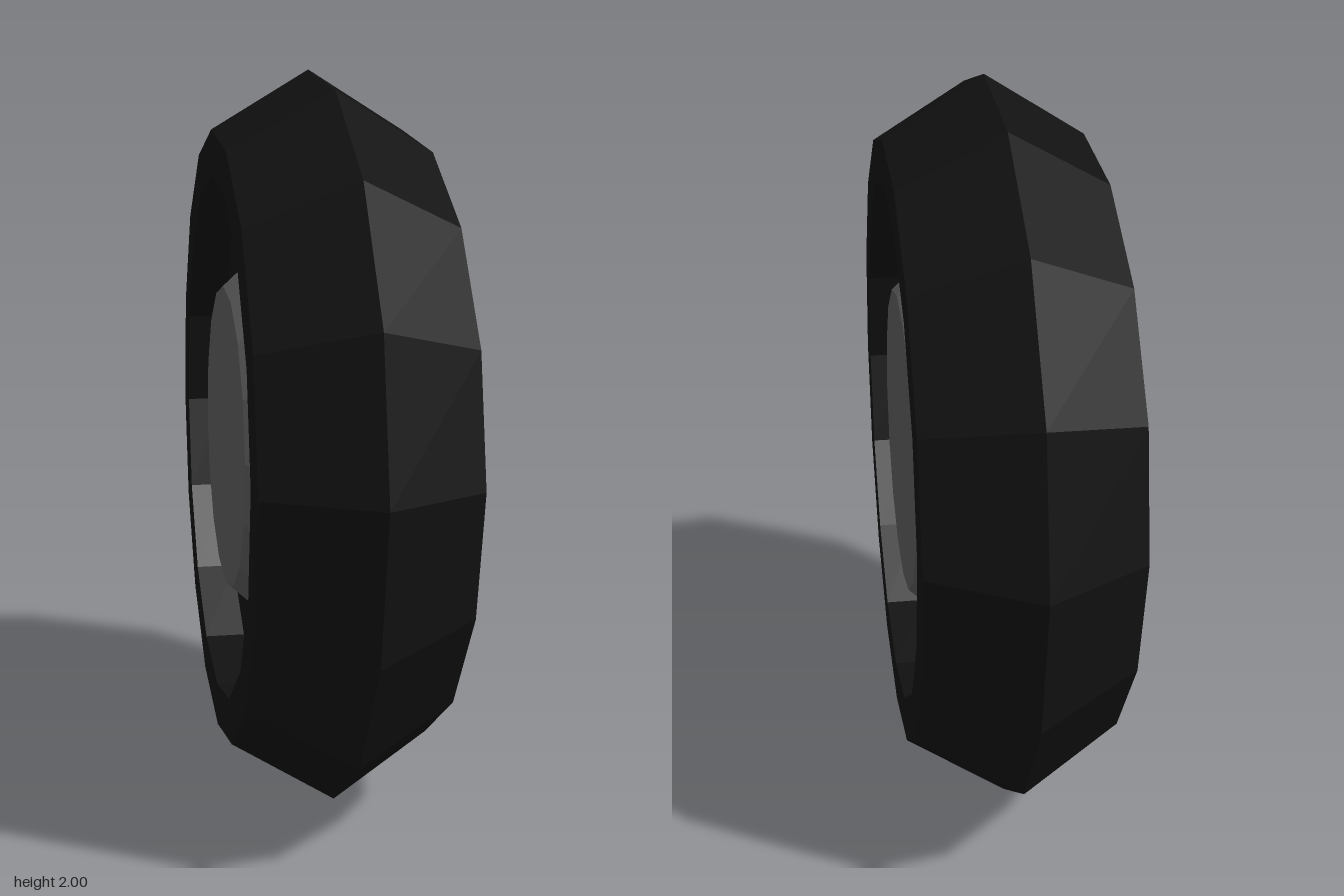
import * as THREE from 'three';

const SIDES = 16;

// Mirrors half a profile of [radius, offset along the axle], running from the
// middle plane to the +x side, and revolves it around the x axis.
function wheelPart(name, half, color) {
  const left = half.map(([r, x]) => new THREE.Vector2(r, x));
  const right = half
    .filter(([, x]) => x > 0)
    .map(([r, x]) => new THREE.Vector2(r, -x))
    .reverse();
  const geometry = new THREE.LatheGeometry([...right, ...left], SIDES);
  geometry.rotateZ(-Math.PI / 2);
  const mesh = new THREE.Mesh(
    geometry,
    new THREE.MeshStandardMaterial({ color, flatShading: true })
  );
  mesh.name = name;
  return mesh;
}

export function createModel() {
  const wheel = new THREE.Group();
  wheel.name = 'wheel';

  // Tyre: ridged tread, flat side lip, step down to the recessed sidewall
  const tyre = wheelPart('tyre', [
    [1, 0], [0.84, 0.265], [0.72, 0.265], [0.72, 0.15], [0.5, 0.15],
  ], 0x111111);

  // Hub: bevelled cap standing out of the recess on both sides
  const hub = wheelPart('hub', [
    [0.5, 0.15], [0.42, 0.237], [0, 0.237],
  ], 0x5a5a5a);

  wheel.add(tyre, hub);
  wheel.position.y = 1;

  const model = new THREE.Group();
  model.name = 'wheelModel';
  model.add(wheel);
  return model;
}
